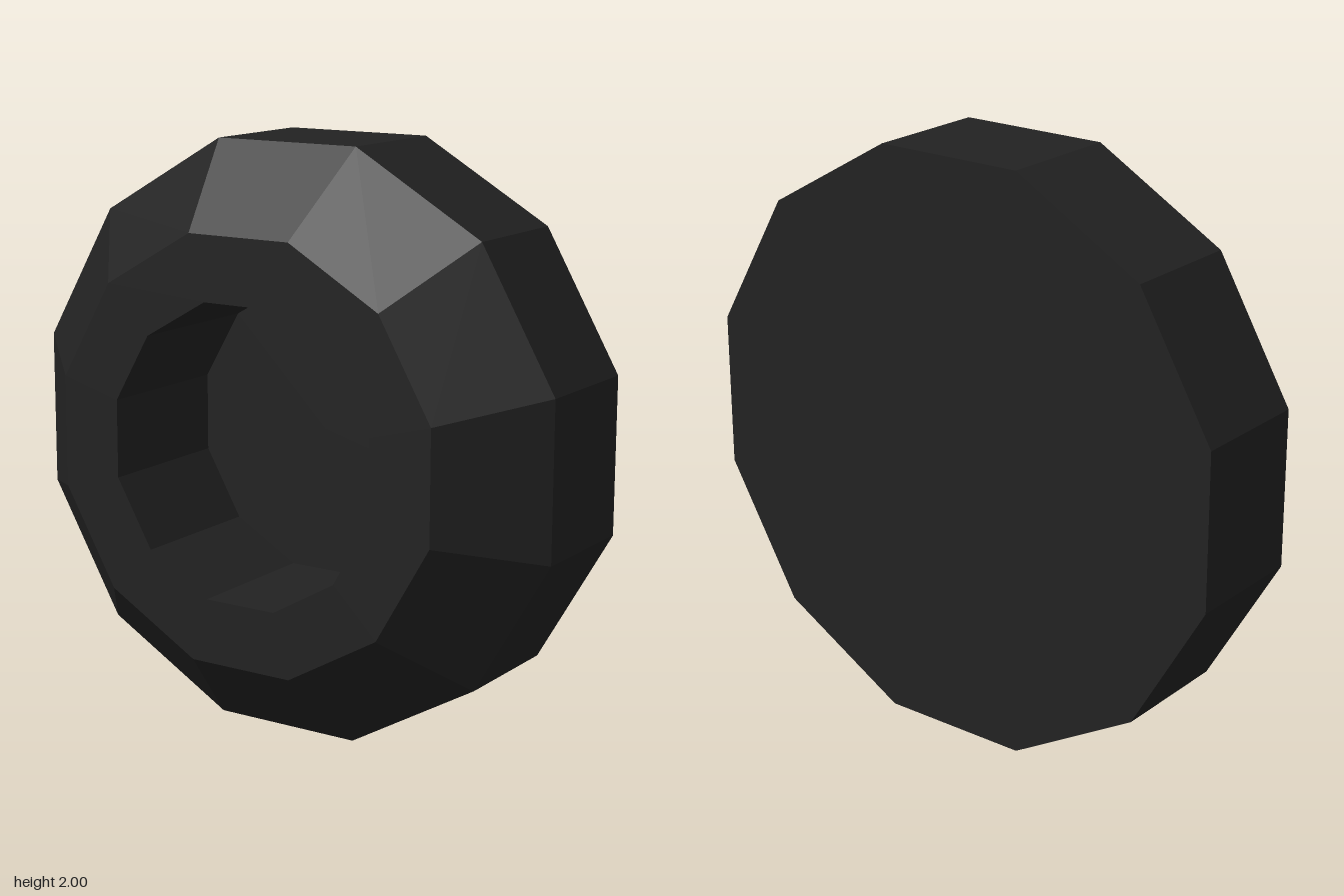
import * as THREE from 'three';

const SIDES = 12;
const CORNER = 1 / Math.cos(Math.PI / SIDES); // flat-to-centre distance -> corner radius

// Faceted ring surface from [flat distance, z] points, turned about the z axis
function facetedTurn(name, profile, material) {
  const points = profile.map(([r, z]) => new THREE.Vector2(r * CORNER, z));
  const lathe = new THREE.LatheGeometry(points, SIDES, Math.PI / SIDES);
  lathe.rotateX(Math.PI / 2);
  const geometry = lathe.toNonIndexed();
  geometry.computeVertexNormals();
  const mesh = new THREE.Mesh(geometry, material);
  mesh.name = name;
  mesh.position.y = 1;
  return mesh;
}

export function createModel() {
  const group = new THREE.Group();
  group.name = 'wheel';

  const rubber = new THREE.MeshStandardMaterial({ color: 0x222222, flatShading: true });
  rubber.name = 'black rubber';

  // Closed back, straight tread, chamfered shoulder and front rim
  group.add(facetedTurn('tyre', [
    [0, -0.355], [1, -0.355], [1, 0.08], [0.72, 0.355], [0.5, 0.355],
  ], rubber));

  // Recessed hub: straight wall down to a flat floor
  group.add(facetedTurn('hubRecess', [
    [0.5, 0.355], [0.5, -0.16], [0, -0.16],
  ], rubber));

  return group;
}
